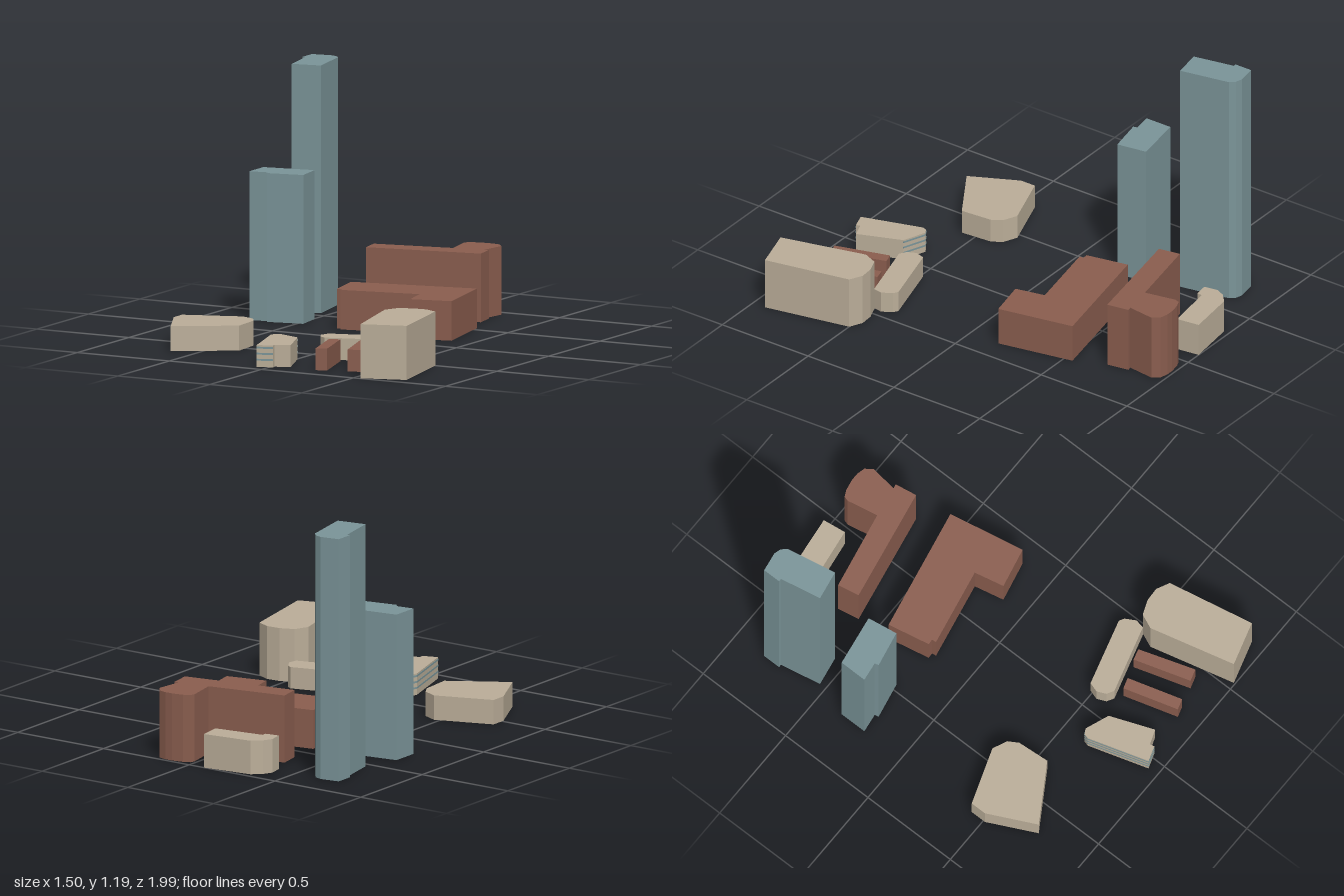
import * as THREE from 'three';

const material = (color) => new THREE.MeshStandardMaterial({ color, flatShading: true });

export function createModel() {
  const city = new THREE.Group();
  city.name = 'cityBlocks';
  const teal = material(0x7b9599);
  const brick = material(0x8b5e4f);
  const stone = material(0xbbae99);

  // Raise a footprint of [x, z] corners to a flat-roofed block
  function building(name, mat, height, corners) {
    const shape = new THREE.Shape(corners.map(([x, z]) => new THREE.Vector2(x, -z)));
    const geometry = new THREE.ExtrudeGeometry(shape, { depth: height, bevelEnabled: false });
    geometry.rotateX(-Math.PI / 2);
    const mesh = new THREE.Mesh(geometry, mat);
    mesh.name = name;
    city.add(mesh);
  }

  // Glass towers
  building('tallTower', teal, 1.19, [
    [-0.75, -0.83], [-0.655, -0.845], [-0.62, -0.835], [-0.597, -0.81],
    [-0.55, -0.56], [-0.695, -0.535], [-0.735, -0.74], [-0.75, -0.74]]);
  building('lowerTower', teal, 0.715, [
    [-0.75, -0.36], [-0.495, -0.4], [-0.472, -0.25],
    [-0.65, -0.215], [-0.655, -0.235], [-0.75, -0.222]]);

  // Brick blocks
  building('backBrickBlock', brick, 0.33, [
    [-0.345, -0.705], [0.045, -0.78], [0.015, -0.935], [0.022, -0.96], [0.055, -0.975],
    [0.11, -0.985], [0.15, -0.985], [0.19, -0.975], [0.217, -0.94],
    [0.2, -0.805], [0.222, -0.81], [0.24, -0.7], [-0.325, -0.597]]);
  building('frontBrickBlock', brick, 0.19, [
    [-0.312, -0.425], [0.307, -0.545], [0.38, -0.165], [0.18, -0.122],
    [0.148, -0.27], [-0.24, -0.195], [-0.243, -0.217], [-0.27, -0.215]]);
  building('brickRowLeft', brick, 0.105, [
    [0.3, 0.572], [0.355, 0.557], [0.444, 0.832], [0.385, 0.85]]);
  building('brickRowRight', brick, 0.105, [
    [0.157, 0.625], [0.21, 0.608], [0.288, 0.877], [0.235, 0.893]]);

  // Stone blocks
  building('backStoneBlock', stone, 0.165, [
    [-0.085, -1], [-0.07, -0.885], [-0.32, -0.85], [-0.32, -0.825],
    [-0.39, -0.815], [-0.402, -0.885], [-0.38, -0.93], [-0.335, -0.97]]);
  building('cornerStoneBlock', stone, 0.12, [
    [-0.75, 0.43], [-0.472, 0.333], [-0.4, 0.365], [-0.37, 0.415],
    [-0.358, 0.575], [-0.635, 0.745], [-0.75, 0.51]]);
  building('roundedStoneBlock', stone, 0.105, [
    [0.065, 0.535], [0.08, 0.487], [0.41, 0.395], [0.435, 0.41],
    [0.463, 0.46], [0.455, 0.505], [0.12, 0.6], [0.085, 0.58]]);
  building('largeStoneBlock', stone, 0.26, [
    [0.43, 0.57], [0.46, 0.5], [0.53, 0.472], [0.6, 0.468],
    [0.665, 0.5], [0.75, 0.93], [0.535, 0.993]]);

  // Small block, with window bands wrapping its back, right and front walls
  const banded = [
    [0.005, 0.657], [-0.112, 0.612], [-0.138, 0.625], [-0.145, 0.65],
    [-0.055, 0.947], [0.02, 0.922]];
  building('bandedStoneBlock', stone, 0.105, [...banded, [0.015, 0.9], [0.088, 0.873]]);
  for (const y of [0.035, 0.064, 0.093]) {
    const band = new THREE.Group();
    band.name = 'windowBand';
    for (let i = 0; i < banded.length - 1; i++) {
      const [x0, z0] = banded[i];
      const [x1, z1] = banded[i + 1];
      const strip = new THREE.Mesh(
        new THREE.BoxGeometry(Math.hypot(x1 - x0, z1 - z0), 0.009, 0.003), teal);
      strip.name = 'windowStrip';
      strip.position.set((x0 + x1) / 2, y, (z0 + z1) / 2);
      strip.rotation.y = -Math.atan2(z1 - z0, x1 - x0);
      band.add(strip);
    }
    city.add(band);
  }

  return city;
}
